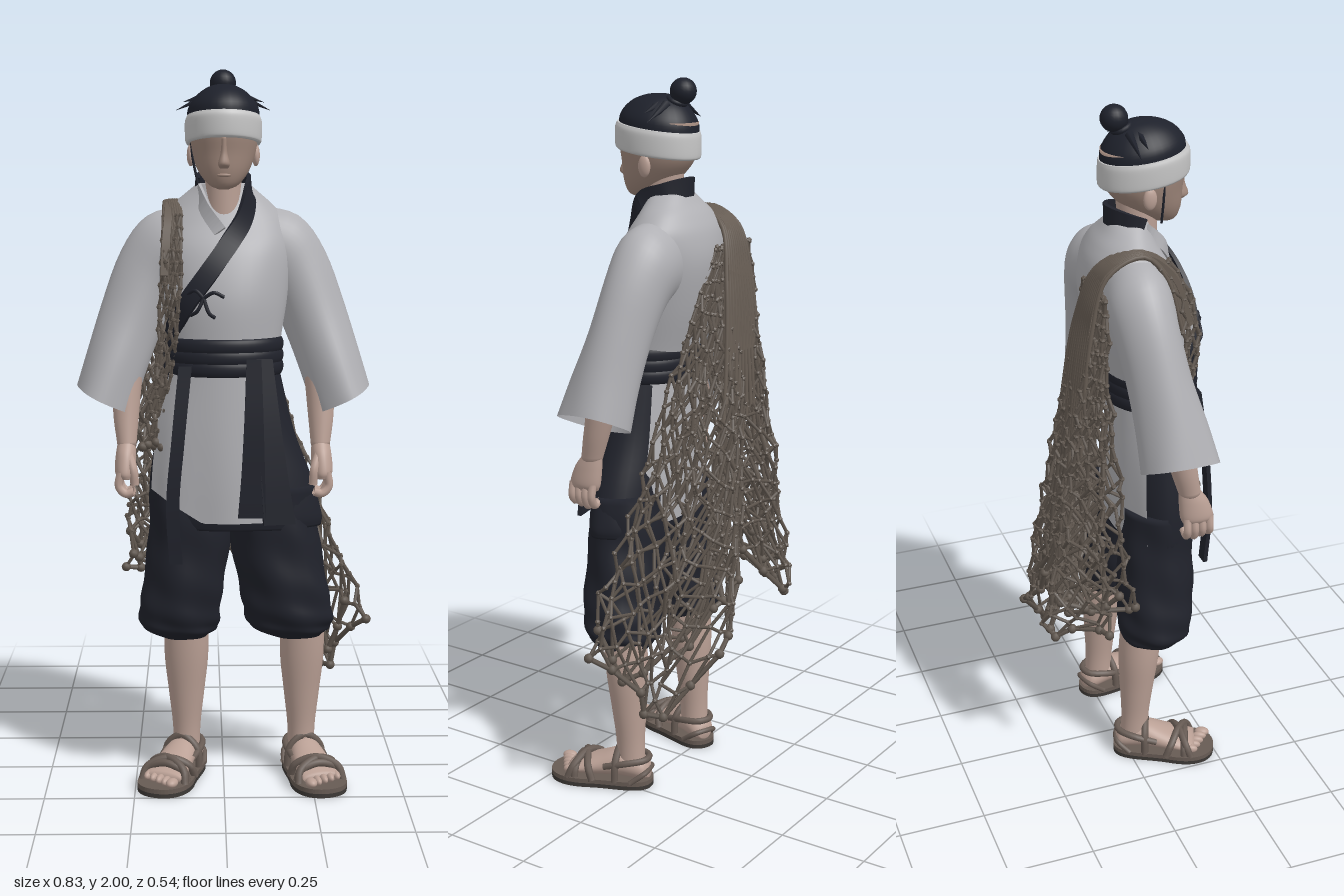
import * as THREE from 'three';
import { mergeGeometries, toCreasedNormals } from 'three/addons/utils/BufferGeometryUtils.js';

const V = (x, y, z) => new THREE.Vector3(x, y, z);
const mat = (name, color) => { const m = new THREE.MeshStandardMaterial({ color, side: THREE.DoubleSide }); m.name = name; return m; };
const lerp = THREE.MathUtils.lerp;

// Smooth skin through elliptical sections [x, y, z, radiusU, radiusZ, tilt]
function loft(secs, { rows = 20, seg = 32, a0 = 0, a1 = Math.PI * 2, mirror = 1, cap = true, fold = null } = {}) {
  const A = new THREE.CatmullRomCurve3(secs.map(s => V(s[0], s[1], s[2])), false, 'catmullrom', 0.5);
  const B = new THREE.CatmullRomCurve3(secs.map(s => V(s[3], s[4], s[5] || 0)), false, 'catmullrom', 0.5);
  const full = a1 - a0 > 6.28, n = full ? seg : seg + 1, pos = [], idx = [];
  const flip = (secs[secs.length - 1][1] > secs[0][1]) === (mirror > 0);
  const tri = (a, b, c) => flip ? idx.push(a, c, b) : idx.push(a, b, c);
  for (let j = 0; j <= rows; j++) {
    const t = j / rows, c = A.getPoint(t), r = B.getPoint(t);
    for (let i = 0; i < n; i++) {
      const a = a0 + (a1 - a0) * i / seg, f = fold ? fold(a, t) : 1;
      const u = r.x * Math.cos(a) * f;
      pos.push(mirror * (c.x + u * Math.cos(r.z)), c.y + u * Math.sin(r.z), c.z + r.y * Math.sin(a) * f);
    }
  }
  for (let j = 0; j < rows; j++) for (let i = 0; i < seg; i++) {
    const k = (i + 1) % n, a = j * n + i, b = j * n + k;
    tri(a, b, a + n); tri(b, b + n, a + n);
  }
  if (full && cap) [0, rows].forEach(j => {
    const c = A.getPoint(j / rows), m = pos.length / 3;
    pos.push(mirror * c.x, c.y, c.z);
    for (let i = 0; i < seg; i++) {
      const a = j * n + i, b = j * n + (i + 1) % n;
      j ? tri(a, b, m) : tri(b, a, m);
    }
  });
  return finish(pos, idx);
}
function finish(pos, idx) {
  const g = new THREE.BufferGeometry();
  g.setAttribute('position', new THREE.Float32BufferAttribute(pos, 3));
  g.setIndex(idx); g.computeVertexNormals();
  return g;
}
// Flat cloth strip following a path; half width may vary along it
function ribbon(pts, width, thick, side = null, n = 32) {
  const curve = new THREE.CatmullRomCurve3(pts), pos = [], idx = [];
  for (let j = 0; j <= n; j++) {
    const p = curve.getPoint(j / n), t = curve.getTangent(j / n), w = typeof width === 'function' ? width(j / n) : width;
    const s = side ? side.clone() : t.clone().cross(V(p.x, 0, p.z - 0.04).normalize()).normalize();
    const o = s.clone().cross(t).normalize().multiplyScalar(thick / 2);
    s.multiplyScalar(w);
    [[1, 1], [-1, 1], [-1, -1], [1, -1]].forEach(([a, b]) => pos.push(p.x + a * s.x + b * o.x, p.y + a * s.y + b * o.y, p.z + a * s.z + b * o.z));
    if (j < n) for (let i = 0; i < 4; i++) {
      const a = j * 4 + i, b = j * 4 + (i + 1) % 4;
      idx.push(a, b, a + 4, b, b + 4, a + 4);
    }
  }
  idx.push(0, 2, 1, 0, 3, 2, n * 4, n * 4 + 1, n * 4 + 2, n * 4, n * 4 + 2, n * 4 + 3);
  return toCreasedNormals(finish(pos, idx), 0.8);
}
const tube = (pts, r, n = 20) => new THREE.TubeGeometry(new THREE.CatmullRomCurve3(pts), n, r, 8);
const ball = (x, y, z, a, b = a, c = a) => new THREE.SphereGeometry(1, 20, 14).scale(a, b, c).translate(x, y, z);

// Knotted diamond net over a surface fn(u, v)
let seed = 7;
const rnd = () => (seed = (seed * 16807) % 2147483647) / 2147483647 - 0.5;
function net(fn, N, M, r, jit) {
  const parts = [], node = [];
  const rope = (a, b, q) => {
    const d = b.clone().sub(a), g = new THREE.CylinderGeometry(q, q, d.length(), 5, 1, true);
    g.applyQuaternion(new THREE.Quaternion().setFromUnitVectors(V(0, 1, 0), d.normalize()));
    const m = a.clone().add(b).multiplyScalar(0.5);
    parts.push(g.translate(m.x, m.y, m.z).toNonIndexed());
  };
  for (let j = 0; j <= M; j++) {
    node.push([]);
    for (let i = 0; i <= N; i++) {
      const p = fn(Math.min(1, (i + (j % 2) / 2) / N), j / M);
      p.add(V(rnd(), rnd(), rnd()).multiplyScalar(jit * (0.4 + j / M)));
      node[j].push(p);
      const k = j === M ? r * 2.8 : r * 1.7;
      parts.push(new THREE.IcosahedronGeometry(k, j === M ? 1 : 0).translate(p.x, p.y, p.z));
    }
  }
  for (let j = 0; j < M; j++) for (let i = 0; i <= N; i++) {
    rope(node[j][i], node[j + 1][i], r);
    const k = i + (j % 2 ? 1 : -1);
    if (k >= 0 && k <= N) rope(node[j][i], node[j + 1][k], r);
  }
  for (let i = 0; i < N; i++) rope(node[M][i], node[M][i + 1], r * 1.5);
  return mergeGeometries(parts);
}

// Torso sections, also used to lay things on the chest
const torso = [[0, 1.14, .1, .15, .11], [0, 1.25, .088, .155, .128], [0, 1.38, .068, .175, .147], [0, 1.5, .04, .19, .14],
  [0, 1.58, .018, .178, .11], [0, 1.63, .015, .14, .085], [0, 1.665, .022, .1, .066], [0, 1.69, .03, .07, .056]];
function chest(x, y, off = 0.008) {
  let k = 0;
  while (k < torso.length - 2 && torso[k + 1][1] < y) k++;
  const a = torso[k], b = torso[k + 1], t = THREE.MathUtils.clamp((y - a[1]) / (b[1] - a[1]), 0, 1);
  const q = Math.min(0.95, Math.abs(x) / lerp(a[3], b[3], t));
  return V(x, y, lerp(a[2], b[2], t) + lerp(a[4], b[4], t) * Math.sqrt(1 - q * q) + off);
}

export function createModel() {
  const root = new THREE.Group();
  const cloth = mat('paleCloth', 0xb0b0b4), white = mat('headbandWhite', 0xc6c6c6), navy = mat('navyCloth', 0x20222b),
    hair = mat('blackHair', 0x1e212b), skin = mat('skin', 0xbaa095), face = mat('faceSkin', 0x9f877b), rope = mat('netRope', 0x5f564e),
    strap = mat('netBundle', 0x665c53), sandal = mat('sandalStraw', 0x675b54), sole = mat('sandalSole', 0x3d3936);
  const add = (name, geo, m, parent = root) => { const o = new THREE.Mesh(geo, m); o.name = name; parent.add(o); return o; };

  // Head
  add('neck', loft([[0, 1.56, .06, .055, .052], [0, 1.64, .06, .05, .052], [0, 1.76, .055, .052, .058]]), skin);
  add('face', loft([[0, 1.672, .135, .012, .015], [0, 1.685, .125, .04, .043], [0, 1.72, .1, .068, .078], [0, 1.77, .077, .087, .104],
    [0, 1.82, .073, .095, .114], [0, 1.88, .07, .095, .113]]), face);
  add('nose', loft([[0, 1.728, .178, .011, .009], [0, 1.74, .183, .016, .02], [0, 1.77, .18, .009, .013], [0, 1.81, .18, .007, .01]], { seg: 12 }), face);
  add('mouth', ball(0, 1.71, .17, .02, .006, .01), face);
  for (const s of [-1, 1]) {
    add('ear', ball(s * .089, 1.765, .06, .011, .03, .019), skin);
    [[.02, 2.0, .1], [.045, 1.85, .075]].forEach(([z, a, l]) => {
      add('hairTuft', new THREE.ConeGeometry(.013, l, 6).translate(0, l / 2, 0).rotateZ(-s * a).translate(s * .04, 1.928, z), hair);
    });
  }
  add('sideLock', tube([V(-.088, 1.82, .1), V(-.084, 1.76, .1), V(-.07, 1.69, .1)], .0035), hair);
  const tilt = g => { const p = g.attributes.position; for (let i = 0; i < p.count; i++) p.setY(i, p.getY(i) + (p.getZ(i) - .075) * .13); g.computeVertexNormals(); return g; };
  add('headband', tilt(loft([[0, 1.795, .075, .1, .12], [0, 1.805, .075, .104, .125], [0, 1.85, .075, .105, .125], [0, 1.868, .073, .1, .12]])), white);
  add('hairCap', tilt(loft([[0, 1.85, .072, .099, .117], [0, 1.89, .07, .096, .112], [0, 1.925, .066, .072, .086], [0, 1.947, .06, .042, .05], [0, 1.957, .05, .012, .015]])), hair);
  add('topknot', ball(0, 1.963, -.008, .036, .036, .037), hair);
  add('topknotTie', new THREE.TorusGeometry(.024, .008, 8, 20).rotateX(1.2).translate(0, 1.937, .012), hair);

  // Jacket with wide sleeves
  const crease = (a, t) => 1 + .012 * Math.sin(a * 5 + t * 6);
  add('jacketBody', loft(torso, { rows: 36, seg: 48, fold: crease }), cloth);
  for (const s of [-1, 1]) {
    const side = s > 0 ? 'left' : 'right';
    add(side + 'Sleeve', loft([[.085, 1.515, .01, .115, .083, 1.4], [.16, 1.5, .005, .112, .09, 1.1], [.21, 1.435, .01, .1, .085, .75],
      [.256, 1.32, .027, .09, .085, .5], [.297, 1.2, .048, .086, .095, .46], [.33, 1.095, .062, .086, .105, .46]],
      { mirror: s, cap: false, seg: 40, fold: (a, t) => 1 + .04 * t * Math.sin(a * 4 + t * 3) }), cloth);
    // Arm and hand
    add(side + 'Arm', loft([[.24, 1.35, .03, .045, .045], [.265, 1.17, .07, .042, .044], [.27, 1.06, .095, .036, .038], [.268, .97, .118, .026, .031]], { mirror: s }), skin);
    add(side + 'Palm', loft([[.268, .985, .114, .024, .03], [.27, .95, .127, .028, .042], [.272, .905, .137, .029, .048], [.27, .885, .139, .022, .042]], { mirror: s }), skin);
    for (let i = 0; i < 4; i++) {
      const z = .105 + i * .022;
      add(side + 'Finger', tube([V(s * .283, .905, z), V(s * .288, .865, z), V(s * .27, .838 + .004 * Math.abs(i - 1), z + .003), V(s * .248, .85, z + .004)], .0115), skin);
    }
    add(side + 'Thumb', tube([V(s * .26, .95, .15), V(s * .248, .91, .172), V(s * .245, .87, .17)], .012), skin);
  }
  add('collar', ribbon([V(-.072, 1.68, .05), V(-.06, 1.695, .01), V(0, 1.708, -.03), V(.06, 1.695, .01), chest(.072, 1.668, .016),
    chest(.058, 1.6, .012), chest(.015, 1.53, .012), chest(-.042, 1.45, .01), chest(-.1, 1.37, .01), chest(-.148, 1.28, .012)], .026, .012, null, 60), navy);
  add('innerLapel', ribbon([V(-.068, 1.675, .055), chest(-.05, 1.62, .012), chest(-.01, 1.56, .006)], .018, .008), cloth);
  for (const [x, y] of [[-.1, 1.405], [0, 1.4], [-.09, 1.35], [-.025, 1.345]])
    add('chestTie', tube([chest(-.055, 1.385, .014), chest((x - .055) / 2, y, .02), chest(x, y - .012, .012)], .005), navy);

  // Belt wrapped in layers, with hanging ends
  for (let k = 0; k < 3; k++) {
    const y = 1.175 + k * .031;
    add('belt', loft([[0, y - .004, .092, .16, .13], [0, y + .008, .092, .165, .135], [0, y + .024, .092, .165, .135], [0, y + .036, .092, .159, .13]], { rows: 8, seg: 48 }), navy);
  }
  const X = V(1, 0, 0);
  add('sashEnd', ribbon([V(.08, 1.22, .215), V(.08, 1.05, .232), V(.078, .9, .238), V(.075, .79, .24)], t => .02 + .018 * t, .012, X), navy);
  add('sashEnd', ribbon([V(.105, 1.22, .205), V(.12, 1.05, .222), V(.135, .9, .23), V(.15, .77, .232)], t => .025 + .02 * t, .012, V(.97, 0, -.22)), navy);
  add('cordEnd', ribbon([V(-.105, 1.2, .2), V(-.125, 1.0, .222), V(-.14, .82, .228), V(-.132, .66, .222)], .018, .012, X), navy);

  // Jacket tails at front and back
  const tail = [[0, 1.19, .1, .158, .115], [0, 1.02, .1, .195, .122], [.01, .88, .1, .222, .125], [.015, .77, .1, .235, .124]];
  const wave = (a, t) => 1 + .02 * t * Math.sin(a * 9);
  const frontTail = loft(tail, { a0: 1.1, a1: 2.75, fold: wave }), fp = frontTail.attributes.position;
  // Lower edge rises toward the outer hip
  for (let i = 0; i < fp.count; i++) {
    const drop = THREE.MathUtils.clamp((1.19 - fp.getY(i)) / .42, 0, 1);
    fp.setY(i, fp.getY(i) + drop * Math.max(0, -.06 - fp.getX(i)) * .6);
  }
  frontTail.computeVertexNormals();
  add('frontTail', frontTail, cloth);
  add('backTail', loft(tail, { a0: 3.75, a1: 5.5, fold: wave }), cloth);

  // Trousers
  add('trouserTop', loft([[0, 1.2, .098, .15, .108], [.005, 1.02, .098, .188, .112], [.02, .88, .097, .225, .115], [.033, .78, .095, .24, .113], [.036, .745, .095, .235, .108]],
    { seg: 48, fold: (a, t) => 1 + .015 * t * Math.sin(a * 8) }), navy);
  const puff = (a, t) => 1 + .022 * Math.sin(a * 6 + t * 9) + .018 * Math.sin(t * 30 + a * 2);
  add('rightTrouserLeg', loft([[-.09, .86, .09, .115, .1], [-.095, .72, .085, .113, .105], [-.112, .58, .08, .115, .11], [-.125, .49, .075, .116, .108], [-.124, .445, .07, .107, .097], [-.115, .42, .06, .075, .075]], { rows: 40, seg: 40, fold: puff }), navy);
  add('leftTrouserLeg', loft([[.135, .86, .09, .12, .1], [.142, .72, .085, .123, .105], [.167, .58, .08, .126, .11], [.183, .49, .075, .127, .108], [.19, .445, .067, .113, .097], [.205, .42, .055, .08, .075]], { rows: 40, seg: 40, fold: puff }), navy);

  // Legs, feet and sandals
  const outline = new THREE.Shape();
  outline.moveTo(0, -.062);
  outline.bezierCurveTo(.068, -.062, .052, .03, .07, .11);
  outline.bezierCurveTo(.09, .19, .06, .245, 0, .245);
  outline.bezierCurveTo(-.06, .245, -.09, .19, -.07, .11);
  outline.bezierCurveTo(-.052, .03, -.068, -.062, 0, -.062);
  for (const [s, x, yaw] of [[-1, -.106, -.38], [1, .226, .27]]) {
    const side = s > 0 ? 'left' : 'right';
    add(side + 'Calf', loft([[x, .5, .045, .06, .06], [x, .36, .034, .063, .06], [x, .24, .028, .051, .05], [x, .14, .024, .04, .042], [x, .06, .022, .038, .042]]), skin);
    const foot = new THREE.Group();
    foot.name = side + 'Foot'; foot.position.set(x, 0, .02); foot.rotation.y = yaw; root.add(foot);
    const slab = (h, y) => new THREE.ExtrudeGeometry(outline, { depth: h, bevelEnabled: false, curveSegments: 16 }).rotateX(Math.PI / 2).translate(0, y, 0);
    add('sole', slab(.012, .012), sole, foot);
    add('footbed', slab(.013, .025), sandal, foot);
    add('footBody', loft([[0, -.055, -.045, .02, .018], [0, -.035, -.055, .038, .034], [0, .03, -.065, .044, .042], [0, .09, -.054, .052, .033], [0, .15, -.042, .058, .022], [0, .185, -.036, .055, .014]]).rotateX(Math.PI / 2), skin, foot);
    for (let i = 0; i < 5; i++) add('toe', ball(s * (-.041 + i * .0215), .036, .21 - i * .009, i ? .011 : .016, .013, .022), skin, foot);
    const arc = (z0, z1, w, h) => tube([V(-w, .02, z0), V(-w * .85, h * .7, lerp(z0, z1, .2)), V(0, h, (z0 + z1) / 2), V(w * .85, h * .7, lerp(z0, z1, .8)), V(w, .02, z1)], .011);
    [[.155, .155, .065, .07], [.175, .1, .066, .079], [.1, .175, .066, .081], [.035, .035, .053, .114]].forEach(a => add('footStrap', arc(...a), sandal, foot));
    add('heelStrap', tube([V(.046, .06, .07), V(.047, .08, 0), V(.02, .085, -.046), V(-.02, .085, -.046), V(-.047, .08, 0), V(-.046, .06, .07)], .01), sandal, foot);
    add('heelLoop', tube([V(.05, .02, -.01), V(.03, .05, -.05), V(-.03, .05, -.05), V(-.05, .02, -.01)], .008), sandal, foot);
  }

  // Fishing net: bundle over the right shoulder, open net behind and gathered net in front
  const pick = (arr, u) => { const q = u * (arr.length - 1), k = Math.min(arr.length - 2, Math.floor(q)); return lerp(arr[k], arr[k + 1], THREE.MathUtils.smoothstep(q - k, 0, 1)); };
  const hemY = [.58, .52, .74, .48, .27, .45], hemZ = [-.13, -.25, -.16, -.25, -.13, .02], hemX = [-.28, -.16, -.03, .1, .3, .4];
  const back = shift => (u, v) => V(lerp(lerp(-.19, -.02, u), pick(hemX, u), Math.pow(v, .9)), lerp(1.54, pick(hemY, u), v),
    lerp(-.1, pick(hemZ, u), v) - .015 * Math.sin(v * Math.PI) + .02 * v * Math.sin(u * 25) + shift * v);
  add('backNet', net(back(0), 18, 28, .005, .024), rope);
  add('middleBackNet', net((u, v) => back(.035)(.04 + u * .72, v * .9), 15, 24, .005, .03), rope);
  add('innerBackNet', net((u, v) => back(.085)(u * .96, v * .93), 15, 24, .005, .03), rope);
  add('frontNet', net((u, v) => {
    const y = lerp(1.6, .98, v), x = lerp(-.14, -.195, v * v) + (u - .5) * .05;
    return chest(x, y, .014 + .006 * Math.sin(u * 9));
  }, 4, 20, .005, .012), rope);
  add('shoulderBundle', ribbon([chest(-.15, 1.44, .01), chest(-.145, 1.53, .01), chest(-.14, 1.59, .01), V(-.135, 1.636, .015), V(-.122, 1.6, -.078),
    V(-.105, 1.5, -.116), V(-.09, 1.38, -.135), V(-.075, 1.25, -.148)], t => .022 + .055 * THREE.MathUtils.smoothstep(t, .4, 1), .014, X, 48), strap);
  // Loose folds run from the bundle down into the net
  for (let i = 0; i < 11; i++) {
    const o = (i - 5) / 5;
    add('bundleFold', tube([chest(-.148 + o * .02, 1.42, .014), chest(-.142 + o * .022, 1.57, .014), V(-.136 + o * .026, 1.642 - o * o * .003, .015), V(-.12 + o * .042, 1.595, -.084),
      V(-.1 + o * .065, 1.45, -.128), V(-.08 + o * .085, 1.22, -.154), V(-.065 + o * .11, 1.05 + .07 * Math.sin(i * 2.3), -.165)], .006, 40), strap);
  }
  return root;
}
